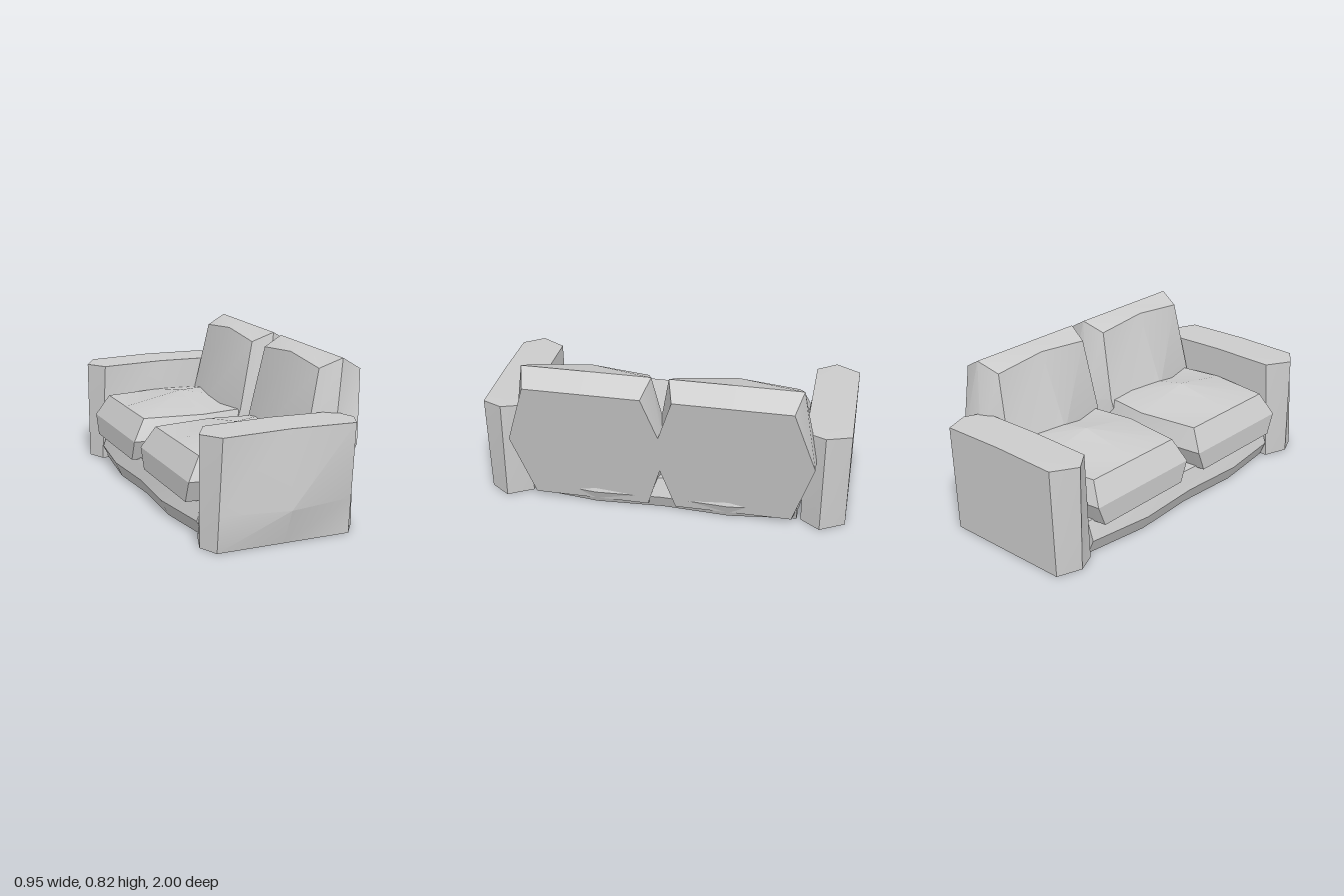
import * as THREE from 'three';
import { toCreasedNormals } from 'three/addons/utils/BufferGeometryUtils.js';

const material = new THREE.MeshStandardMaterial({ color: 0xcccccc });

// Padded block: each vertex of a subdivided box (i, j, k in -1..1) is placed by a rule
function paddedBlock(name, zSegments, place) {
  const box = new THREE.BoxGeometry(2, 2, 2, 2, 2, zSegments);
  const p = box.attributes.position;
  for (let n = 0; n < p.count; n++) {
    p.setXYZ(n, ...place(p.getX(n), p.getY(n), p.getZ(n)));
  }
  const mesh = new THREE.Mesh(toCreasedNormals(box, 0.4), material);
  mesh.name = name;
  return mesh;
}

// Pick by level: low (-1), middle (0), high (1)
const level = (t, values) => values[Math.round(t) + 1];

// Armrest: bevelled ends, slightly crowned top, one swollen side
const arm = (i, j, k) => {
  const centre = k === 0 ? -0.065 : level(j, [-0.08, -0.07, -0.05]);
  const half = k === 0 ? 0.41 : 0.35;
  const crown = i === 0 && j === 1 ? 0.007 : 0;
  const bulge = i === 0 && j === 0 && k === 1 ? 0.06 : 0;
  return [centre + i * half, level(j, [0, 0.18, 0.555]) + crown,
    level(k, [0.705, 0.835, 0.94]) + bulge];
};

// Seat cushion: sloped front, crowned top, pinched corners
const seat = (i, j, k) => {
  const x = level(i, [level(j, [-0.47, -0.47, -0.4]), -0.07, 0.25]);
  const half = level(j, [0.29, 0.335, 0.295]) + (i === 0 ? 0.045 : 0);
  const crown = j === 1 && i === 0 && k === 0 ? 0.065 : 0;
  return [x, level(j, [0.17, 0.28, 0.395]) + crown, k * half];
};

// Back cushion: leaning slab, widest at mid height, swollen front
const back = (i, j, k) => {
  const puff = k === 0 ? 1 : 0;
  if (i === 1) {
    const y = level(j, [0.03, 0.4, 0.75]);
    return [0.475 - 0.212 * (0.75 - y), y, k * level(j, [0.31, 0.42, 0.305])];
  }
  if (i === 0) {
    return [level(j, [0.2, 0.27, 0.355]), level(j, [0.03, 0.4, 0.82]),
      k * level(j, [0.34, 0.42, 0.34])];
  }
  return [level(j, [0.08, 0.16 - 0.08 * puff, 0.24]),
    level(j, [0.1, 0.4, 0.77 + 0.03 * puff]), k * level(j, [0.3, 0.33, 0.305])];
};

// Base: long plinth with two swellings along the front and the rear
const base = (i, j, k) => {
  const swell = Math.abs(k) === 0.5 ? 0.03 : k === 0 ? 0.01 : -0.015;
  const half = level(j, [0.345, 0.38, 0.345]) + swell;
  return [-0.065 + i * half, level(j, [0, 0.08, 0.18]), -0.025 + k * 0.72];
};

export function createModel() {
  const sofa = new THREE.Group();
  sofa.name = 'sofa';
  sofa.add(paddedBlock('base', 4, base));

  for (const [side, armShift, centre] of [['left', 0, 0.36], ['right', -1.705, -0.41]]) {
    const armrest = paddedBlock(side + ' armrest', 2, arm);
    armrest.position.z = armShift;
    const seatCushion = paddedBlock(side + ' seat cushion', 2, seat);
    seatCushion.position.z = centre;
    const backCushion = paddedBlock(side + ' back cushion', 2, back);
    backCushion.position.z = centre;
    sofa.add(armrest, seatCushion, backCushion);
  }
  return sofa;
}
